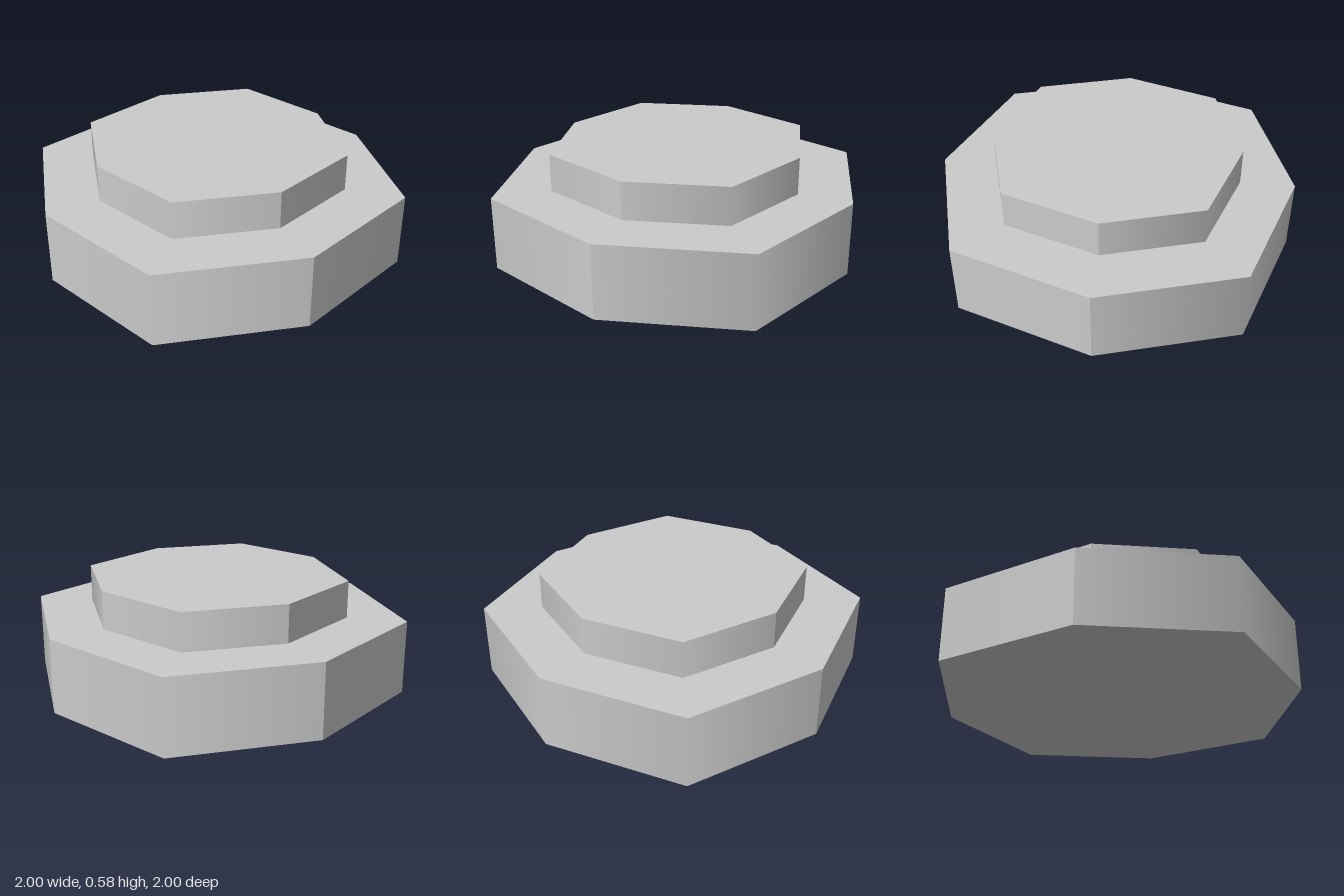
import * as THREE from 'three';

const material = new THREE.MeshStandardMaterial({ color: 0xcccccc });

// Octagonal slab: a box whose four sides bow out to a point at their middle.
// corner = half width at the diagonal corners, reach = distance of the mid-side points.
function createSlab(name, corner, reach, bottom, top) {
  const height = top - bottom;
  const geometry = new THREE.BoxGeometry(2 * corner, height, 2 * corner, 2, 1, 2);
  geometry.translate(0, bottom + height / 2, 0);
  const pos = geometry.attributes.position;
  const normal = geometry.attributes.normal;
  const n = new THREE.Vector3();
  const bow = reach - corner;

  for (let i = 0; i < pos.count; i++) {
    const x = pos.getX(i);
    const z = pos.getZ(i);
    const midX = Math.abs(x) < 1e-6;
    const midZ = Math.abs(z) < 1e-6;

    // Push the mid-side points outward
    if (midX) pos.setZ(i, z * reach / corner);
    if (midZ) pos.setX(i, x * reach / corner);

    // Smooth across each bowed side, with a hard edge at the diagonal corners
    n.fromBufferAttribute(normal, i);
    if (Math.abs(n.y) < 0.5 && !midX && !midZ) {
      if (Math.abs(n.z) > 0.5) n.set(Math.sign(x) * bow, 0, n.z * corner);
      else n.set(n.x * corner, 0, Math.sign(z) * bow);
      n.normalize();
      normal.setXYZ(i, n.x, n.y, n.z);
    }
  }

  const mesh = new THREE.Mesh(geometry, material);
  mesh.name = name;
  return mesh;
}

export function createModel() {
  const group = new THREE.Group();
  group.name = 'steppedOctagonalPlinth';
  group.add(createSlab('base', 0.66, 1, 0, 0.385));
  group.add(createSlab('upperStep', 0.46, 0.695, 0.385, 0.58));
  return group;
}
